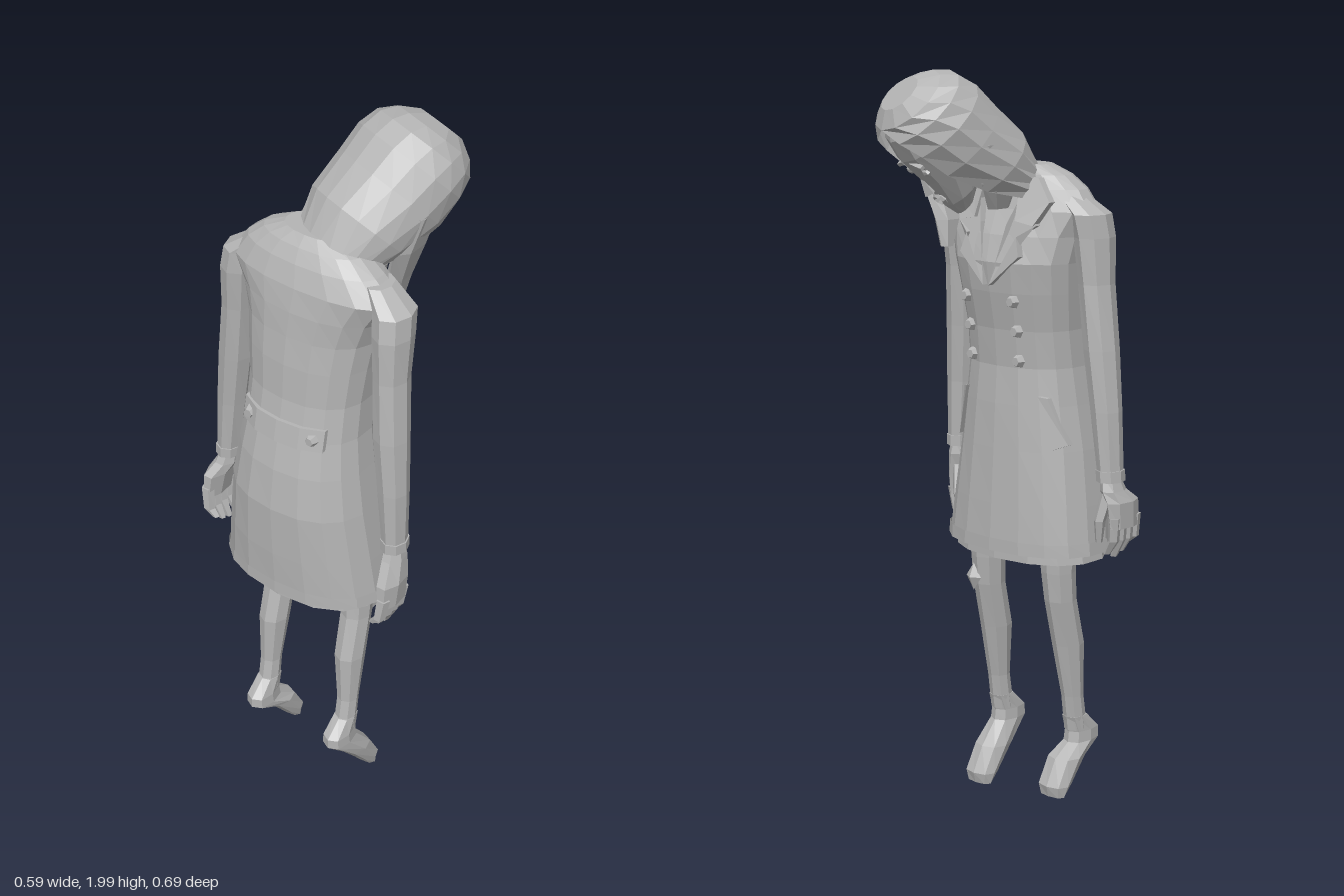
import * as THREE from 'three';

const grey = new THREE.MeshStandardMaterial({ color: 0xb4b4b4 });
grey.name = 'plain grey';
grey.flatShading = true;
grey.side = THREE.DoubleSide;

function add(parent, name, geometry) {
  const m = new THREE.Mesh(geometry, grey);
  m.name = name;
  parent.add(m);
  return m;
}
function build(positions, index) {
  const g = new THREE.BufferGeometry();
  g.setAttribute('position', new THREE.Float32BufferAttribute(positions, 3));
  g.setIndex(index);
  g.computeVertexNormals();
  return g;
}
const pow = (v, e) => Math.sign(v) * Math.abs(v) ** e;

// Skin over rings listed from low to high: [y, x, z, radiusX, radiusZ, frontGap in radians]
function loft(rings, n = 8, square = 2, bottom = true, top = true) {
  const pos = [], idx = [];
  rings.forEach(([y, x, z, rx, rz, gap = 0]) => {
    for (let i = 0; i <= n; i++) {
      const a = gap + (2 * Math.PI - 2 * gap) * i / n;
      pos.push(x + rx * pow(Math.cos(a), 2 / square), y, z + rz * pow(Math.sin(a), 2 / square));
    }
  });
  const w = n + 1, last = rings.length - 1;
  for (let j = 0; j < last; j++) for (let i = 0; i < n; i++) {
    const p = j * w + i;
    idx.push(p, p + w, p + w + 1, p, p + w + 1, p + 1);
  }
  const cap = (j, up) => {
    const c = pos.length / 3;
    pos.push(rings[j][1], rings[j][0], rings[j][2]);
    for (let i = 0; i < n; i++) {
      const p = j * w + i;
      up ? idx.push(p, c, p + 1) : idx.push(p, p + 1, c);
    }
  };
  if (bottom) cap(0, false);
  if (top) cap(last, true);
  return build(pos, idx);
}

const coatRings = [
  [0.73, -0.125, 0.008, 0.165, 0.243], [0.85, -0.13, 0.006, 0.165, 0.228], [1.0, -0.135, 0.004, 0.163, 0.207],
  [1.12, -0.13, 0.004, 0.152, 0.188], [1.22, -0.122, 0.004, 0.137, 0.174], [1.32, -0.108, 0.004, 0.132, 0.172],
  [1.42, -0.095, 0.004, 0.138, 0.182], [1.5, -0.085, 0.006, 0.138, 0.192], [1.57, -0.092, 0.012, 0.124, 0.212],
  [1.635, -0.102, 0.018, 0.102, 0.252], [1.69, -0.1, 0.005, 0.083, 0.2], [1.725, -0.093, 0, 0.068, 0.15],
  [1.75, -0.085, 0, 0.052, 0.09],
];
const coatSquare = 2.3;

// x of the coat surface at a height and side position; side 1 is front, -1 is back
function coatX(y, z, side) {
  let j = 0;
  while (j < coatRings.length - 2 && coatRings[j + 1][0] < y) j++;
  const a = coatRings[j], b = coatRings[j + 1], t = (y - a[0]) / (b[0] - a[0]);
  const mix = k => a[k] + (b[k] - a[k]) * t;
  const r = Math.max(0, 1 - Math.abs((z - mix(2)) / mix(4)) ** coatSquare);
  return mix(1) + side * mix(3) * r ** (1 / coatSquare);
}

// Raised panel following the coat, outline given as [y, z]
function panel(parent, name, outline, side, off) {
  const pos = [], idx = [], n = outline.length;
  for (const o of [off, -0.008]) for (const [y, z] of outline) pos.push(coatX(y, z, side) + side * o, y, z);
  for (let i = 0; i < n; i++) {
    const k = (i + 1) % n;
    if (i > 0 && i < n - 1) idx.push(0, i, i + 1);
    idx.push(i, i + n, k, k, i + n, k + n);
  }
  return add(parent, name, build(pos, idx));
}

function button(parent, y, z, side) {
  const b = add(parent, 'button', new THREE.CylinderGeometry(0.012, 0.019, 0.018, 6));
  b.rotation.z = -side * Math.PI / 2;
  b.position.set(coatX(y, z, side) + side * 0.008, y, z);
}

function coat(root) {
  const g = new THREE.Group();
  g.name = 'coat';
  root.add(g);
  add(g, 'coatBody', loft(coatRings, 18, coatSquare, false));
  add(g, 'hemBand', loft([[0.72, -0.125, 0.008, 0.168, 0.248], [0.755, -0.125, 0.008, 0.168, 0.245]], 18, coatSquare, false, false));
  add(g, 'underskirt', loft([[0.695, -0.125, 0.005, 0.15, 0.226], [0.78, -0.125, 0.005, 0.148, 0.213]], 14, coatSquare, false, false));
  add(g, 'collar', loft([[1.7, -0.085, 0, 0.07, 0.12], [1.75, -0.072, 0.005, 0.062, 0.085]], 10, 2, false, false));
  for (const y of [1.24, 1.32, 1.4]) for (const z of [0.1, -0.07]) button(g, y, z, 1);
  for (const s of [1, -1]) {
    panel(g, 'lapel', [[1.44, s * 0.01], [1.52, s * 0.1], [1.57, s * 0.085], [1.6, s * 0.13], [1.7, s * 0.08], [1.6, s * 0.045]], 1, 0.017);
    panel(g, 'collarFlap', [[1.61, s * 0.07], [1.6, s * 0.125], [1.66, s * 0.155], [1.72, s * 0.11], [1.72, s * 0.06]], 1, 0.02);
    panel(g, 'pocket', [[1.15, s * 0.125], [1.145, s * 0.145], [1.02, s * 0.187], [1.01, s * 0.165]], 1, 0.012);
    button(g, 1.235, s * 0.1, -1);
  }
  const belt = [-0.13, -0.07, 0, 0.07, 0.13];
  for (let i = 0; i < 4; i++) {
    panel(g, 'backBelt', [[1.205, belt[i]], [1.205, belt[i + 1]], [1.265, belt[i + 1]], [1.265, belt[i]]], -1, 0.01);
  }
}

// side 1 is the arm toward +z; shift moves the lower arm forward, inset draws the shoulder in
function arm(root, side, shift, inset, raise) {
  const g = new THREE.Group();
  g.name = side > 0 ? 'rightArm' : 'leftArm';
  root.add(g);
  const ring = (y, x, z, rx, rz) => [
    y < 0.9 ? y + raise : y,
    x + shift * Math.min(1, (1.8 - y) / 0.6),
    side * (z - inset * Math.max(0, (y - 0.8) / 0.9)), rx, rz];
  add(g, 'sleeve', loft([
    ring(0.95, -0.16, 0.303, 0.038, 0.032), ring(1.12, -0.16, 0.296, 0.043, 0.041), ring(1.28, -0.155, 0.284, 0.05, 0.046),
    ring(1.45, -0.142, 0.272, 0.053, 0.045), ring(1.57, -0.132, 0.268, 0.062, 0.05),
    ring(1.63, -0.12, 0.262, 0.064, 0.05), ring(1.68, -0.105, 0.205, 0.045, 0.035)], 8));
  add(g, 'cuff', loft([ring(0.935, -0.16, 0.303, 0.042, 0.036), ring(0.965, -0.16, 0.303, 0.042, 0.036)], 8));
  add(g, 'palm', loft([
    ring(0.78, -0.19, 0.318, 0.056, 0.022), ring(0.85, -0.185, 0.316, 0.058, 0.03),
    ring(0.91, -0.165, 0.306, 0.042, 0.03), ring(0.95, -0.16, 0.302, 0.028, 0.025)], 7));
  for (let i = 0; i < 4; i++) {
    const x = -0.23 + i * 0.027, drop = [0.03, 0.01, 0, 0.012][i];
    add(g, 'finger', loft([
      ring(0.695 + drop, x - 0.006, 0.29, 0.01, 0.01), ring(0.745, x - 0.005, 0.312, 0.016, 0.016),
      ring(0.81, x, 0.32, 0.017, 0.019)], 5));
  }
  add(g, 'thumb', loft([
    ring(0.74, -0.135, 0.278, 0.01, 0.01), ring(0.8, -0.13, 0.284, 0.017, 0.016), ring(0.88, -0.15, 0.3, 0.02, 0.02)], 5));
}

function leg(root, side, z, lift) {
  const g = new THREE.Group();
  g.name = side > 0 ? 'rightLeg' : 'leftLeg';
  root.add(g);
  add(g, 'shin', loft([
    [0.2, -0.155, z, 0.033, 0.03], [0.3, -0.14, z, 0.031, 0.03], [0.45, -0.125, z - side * 0.004, 0.047, 0.041],
    [0.58, -0.095, z - side * 0.006, 0.045, 0.043], [0.66, -0.088, z - side * 0.008, 0.047, 0.047],
    [0.85, -0.09, z - side * 0.01, 0.062, 0.055]], 8));
  add(g, 'foot', loft([
    [lift, -0.062, z, 0.02, 0.04], [0.03 + lift, -0.07, z, 0.036, 0.047], [0.1 + lift, -0.118, z, 0.048, 0.047],
    [0.165, -0.178, z, 0.055, 0.036], [0.195, -0.18, z, 0.053, 0.034], [0.24, -0.15, z, 0.034, 0.03]], 8, 2.5));
  if (side > 0) {
    const k = add(g, 'kneePatch', new THREE.OctahedronGeometry(0.034));
    k.scale.set(0.5, 1.15, 0.8);
    k.position.set(-0.048, 0.6, z + 0.01);
  }
}

function head(root) {
  const g = new THREE.Group();
  g.name = 'head';
  // Bowed forward and leaning to one side
  g.position.set(0.11, 1.82, 0.09);
  g.rotation.set(0, -0.35, -0.79, 'YZX');
  root.add(g);
  add(g, 'face', loft([
    [-0.16, 0.09, 0, 0.03, 0.028], [-0.12, 0.065, 0, 0.064, 0.065], [-0.04, 0.025, 0, 0.102, 0.098],
    [0.05, 0.02, 0, 0.112, 0.112], [0.11, 0.01, 0, 0.108, 0.11], [0.145, 0.01, 0, 0.08, 0.08]], 12));
  add(g, 'hair', loft([
    [-0.235, -0.035, 0, 0.085, 0.125, 1.3], [-0.13, -0.02, 0, 0.13, 0.155, 0.95], [-0.02, 0, 0, 0.145, 0.166, 0.8],
    [0.06, 0, 0, 0.145, 0.168, 0.68], [0.115, 0.003, 0, 0.132, 0.152, 0.45], [0.15, 0.008, 0, 0.105, 0.12, 0],
    [0.178, 0.012, 0, 0.058, 0.07, 0]], 12, 2, false));
  const nose = add(g, 'nose', new THREE.ConeGeometry(0.018, 0.06, 4));
  nose.position.set(0.128, -0.035, 0);
  nose.rotation.z = 0.2;
  const mouth = add(g, 'mouth', new THREE.TorusGeometry(0.024, 0.008, 4, 8));
  mouth.rotation.y = Math.PI / 2;
  mouth.scale.y = 0.6;
  mouth.position.set(0.126, -0.095, 0);
  for (const s of [1, -1]) {
    const eye = add(g, 'eye', new THREE.SphereGeometry(0.018, 6, 4));
    eye.scale.set(0.5, 0.6, 1.1);
    eye.position.set(0.117, 0, s * 0.045);
    const brow = add(g, 'brow', new THREE.BoxGeometry(0.012, 0.01, 0.05));
    brow.position.set(0.122, 0.032, s * 0.045);
    brow.rotation.x = s * 0.25;
  }
}

export function createModel() {
  const root = new THREE.Group();
  root.name = 'bowedFigure';
  coat(root);
  arm(root, 1, 0, 0, 0);
  arm(root, -1, 0.06, 0.05, 0.03);
  leg(root, 1, 0.139, 0);
  leg(root, -1, -0.134, 0.03);
  add(root, 'neck', loft([[1.68, -0.08, 0.0, 0.05, 0.05], [1.75, -0.03, 0.02, 0.05, 0.05], [1.82, 0.04, 0.05, 0.05, 0.05]], 8));
  head(root);
  // Loose locks hanging straight down beside the face
  add(root, 'longLock', loft([
    [1.53, 0.062, 0.14, 0.02, 0.016], [1.6, 0.048, 0.152, 0.042, 0.028], [1.7, 0.045, 0.185, 0.062, 0.03],
    [1.8, 0.06, 0.215, 0.06, 0.028]], 6));
  add(root, 'shortLock', loft([
    [1.64, 0.04, -0.025, 0.04, 0.015], [1.71, 0.055, -0.045, 0.07, 0.022], [1.81, 0.09, -0.055, 0.08, 0.024]], 6));
  return root;
}
